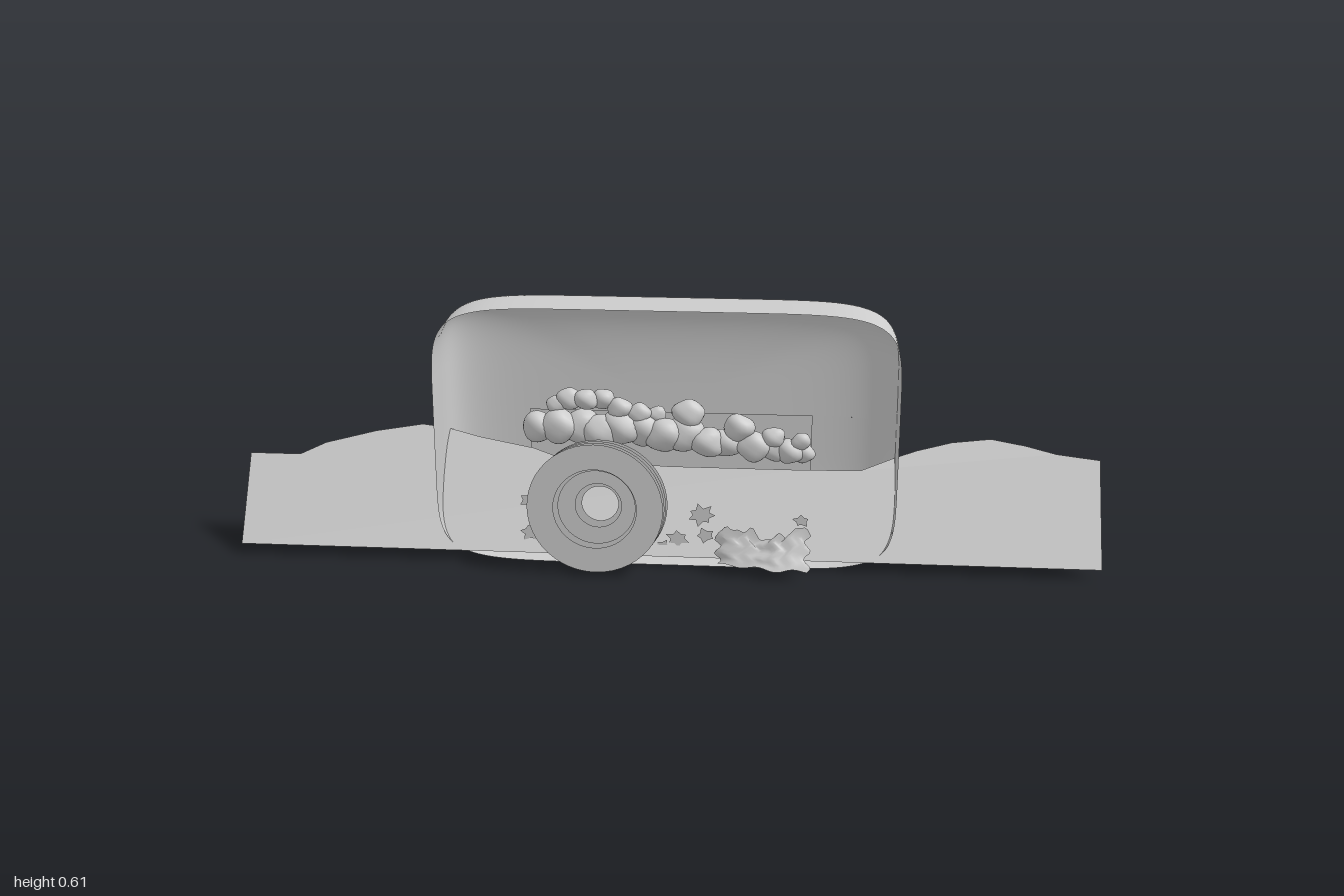
import * as THREE from 'three';
import { mergeVertices } from 'three/addons/utils/BufferGeometryUtils.js';

const grey = new THREE.MeshStandardMaterial({ color: 0xcccccc, side: THREE.DoubleSide });

function add(parent, name, geometry, x = 0, y = 0, z = 0) {
  const mesh = new THREE.Mesh(geometry, grey);
  mesh.name = name;
  mesh.position.set(x, y, z);
  parent.add(mesh);
  return mesh;
}

// Bend a unit grid into a surface: rule(u, v) returns [x, y, z]
function surface(nu, nv, rule) {
  const g = new THREE.PlaneGeometry(1, 1, nu, nv);
  const p = g.attributes.position;
  for (let i = 0; i < p.count; i++) p.setXYZ(i, ...rule(p.getX(i) + 0.5, p.getY(i) + 0.5));
  g.deleteAttribute('uv');
  g.deleteAttribute('normal');
  const m = mergeVertices(g, 1e-5);
  m.computeVertexNormals();
  return m;
}

const spow = (c, e) => Math.sign(c) * Math.pow(Math.abs(c), e);

// Bulging rounded box, open at the front
function shellGeometry() {
  return surface(128, 32, (u, v) => {
    const a = u * Math.PI * 2, phi = v * Math.PI / 2;
    const cx = spow(Math.cos(a), 2 / 7), cy = spow(Math.sin(a), 2 / 7);
    const n = 3.5 + 2.5 * Math.cos(a) ** 2;
    const s = Math.pow(Math.max(0, Math.cos(phi)), 2 / n);
    const t = Math.pow(Math.sin(phi), 2 / 7);
    return [0.53 * s * cx, 0.305 + 0.305 * s * cy, 0.05 - 0.215 * t];
  });
}

// Flat strip with a wavy top, leaning back
function groundGeometry() {
  const top = [[1, 0.24], [0.9, 0.25], [0.83, 0.265], [0.75, 0.277], [0.66, 0.268], [0.58, 0.25],
    [0.53, 0.235], [0.45, 0.207], [0.3, 0.205], [0, 0.205], [-0.25, 0.215], [-0.32, 0.235],
    [-0.45, 0.255], [-0.53, 0.272], [-0.59, 0.278], [-0.7, 0.262], [-0.82, 0.235], [-0.88, 0.21], [-1, 0.21]];
  const pts = [[-1, 0.025], [1, 0.025], ...top].map(([x, y]) => new THREE.Vector2(x, y));
  const g = new THREE.ShapeGeometry(new THREE.Shape(pts));
  const p = g.attributes.position;
  for (let i = 0; i < p.count; i++) p.setZ(i, 0.06 - 0.65 * (p.getY(i) - 0.025));
  g.computeVertexNormals();
  return g;
}

// Small flat leaf cluster with pointed lobes
function leafGeometry(r, lobes, turn) {
  const pts = [];
  for (let i = 0; i < lobes * 2; i++) {
    const a = turn + i * Math.PI / lobes;
    const d = r * (i % 2 ? 0.55 : 1 - 0.12 * (i % 3));
    pts.push(new THREE.Vector2(d * Math.cos(a), 0.8 * d * Math.sin(a)));
  }
  return new THREE.ShapeGeometry(new THREE.Shape(pts));
}

// Sphere with gentle lumps
function lumpGeometry(r, seed) {
  const g = new THREE.SphereGeometry(r, 18, 12);
  const p = g.attributes.position, v = new THREE.Vector3();
  for (let i = 0; i < p.count; i++) {
    v.fromBufferAttribute(p, i);
    const k = 1 + 0.1 * Math.sin(v.x / r * 3 + seed) * Math.cos(v.y / r * 3.5 + seed * 2);
    p.setXYZ(i, v.x * k * 1.15, v.y * k, v.z * k * 0.9);
  }
  g.computeVertexNormals();
  return g;
}

export function createModel() {
  const model = new THREE.Group();
  add(model, 'shell', shellGeometry());
  add(model, 'ground', groundGeometry());

  // Panel behind the bushes
  add(model, 'backPanel', new THREE.PlaneGeometry(0.67, 0.25), 0, 0.19, -0.13);

  // Stacked flat rings
  const tunnel = new THREE.Group();
  tunnel.name = 'ringTunnel';
  tunnel.position.set(-0.152, 0.166, 0);
  model.add(tunnel);
  [[0.13, 0.095], [0.11, 0.088], [0.09, 0.053], [0.07, 0.042]].forEach(([z, hole], i) =>
    add(tunnel, 'ring' + (i + 1), new THREE.RingGeometry(hole, 0.155, 48), i * 0.002, -i * 0.003, z));

  // Row of bushes, with a smaller clump above its right end
  const bushes = new THREE.Group();
  bushes.name = 'bushes';
  model.add(bushes);
  [[-0.305, 0.285, 0.037], [-0.26, 0.29, 0.04], [-0.21, 0.285, 0.042], [-0.16, 0.28, 0.042],
    [-0.11, 0.29, 0.042], [-0.06, 0.285, 0.042], [-0.01, 0.275, 0.04], [0.035, 0.275, 0.042],
    [0.045, 0.325, 0.033], [0.09, 0.26, 0.036], [0.135, 0.255, 0.035], [0.165, 0.295, 0.032],
    [0.2, 0.25, 0.034], [0.245, 0.245, 0.032], [0.245, 0.275, 0.025], [0.285, 0.24, 0.03],
    [0.315, 0.235, 0.024], [0.31, 0.268, 0.02],
    [-0.265, 0.34, 0.022], [-0.235, 0.355, 0.026], [-0.195, 0.358, 0.025], [-0.155, 0.355, 0.025],
    [-0.115, 0.335, 0.026], [-0.07, 0.325, 0.024], [-0.03, 0.32, 0.02]].forEach(([x, y, r], i) =>
    add(bushes, 'bush', lumpGeometry(r, i * 1.7), x, y, -0.088 + 0.008 * Math.sin(i * 2.3)));

  // Curled ragged leaf lying in front
  add(model, 'curledLeaf', surface(28, 12, (u, v) => {
    const rag = 0.008 * Math.sin(u * 23) + 0.005 * Math.sin(u * 41);
    const height = 0.075 + 0.012 * Math.sin(u * 9);
    const out = 0.012 + 0.034 * Math.sin(Math.min(1, u * 1.15) * Math.PI / 2);
    return [0.125 + 0.205 * u + 0.008 * Math.sin(v * 14),
      0.023 + v * (height + rag) + (1 - v) * 0.006 * (1 + Math.sin(u * 17)) * 0.5,
      0.08 + out * (1 - v) ** 1.3 + 0.004 * Math.sin(u * 12)];
  }));

  // Loose flat leaves
  const leaves = new THREE.Group();
  leaves.name = 'looseLeaves';
  model.add(leaves);
  [[-0.315, 0.15, 0.026, 5], [-0.31, 0.07, 0.032, 6], [0.085, 0.125, 0.037, 7], [0.03, 0.065, 0.03, 6],
    [-0.005, 0.045, 0.022, 5], [0.095, 0.075, 0.026, 5], [0.315, 0.118, 0.022, 5]].forEach(([x, y, r, n], i) =>
    add(leaves, 'leaf', leafGeometry(r, n, i * 0.9), x, y, 0.045));

  return model;
}
